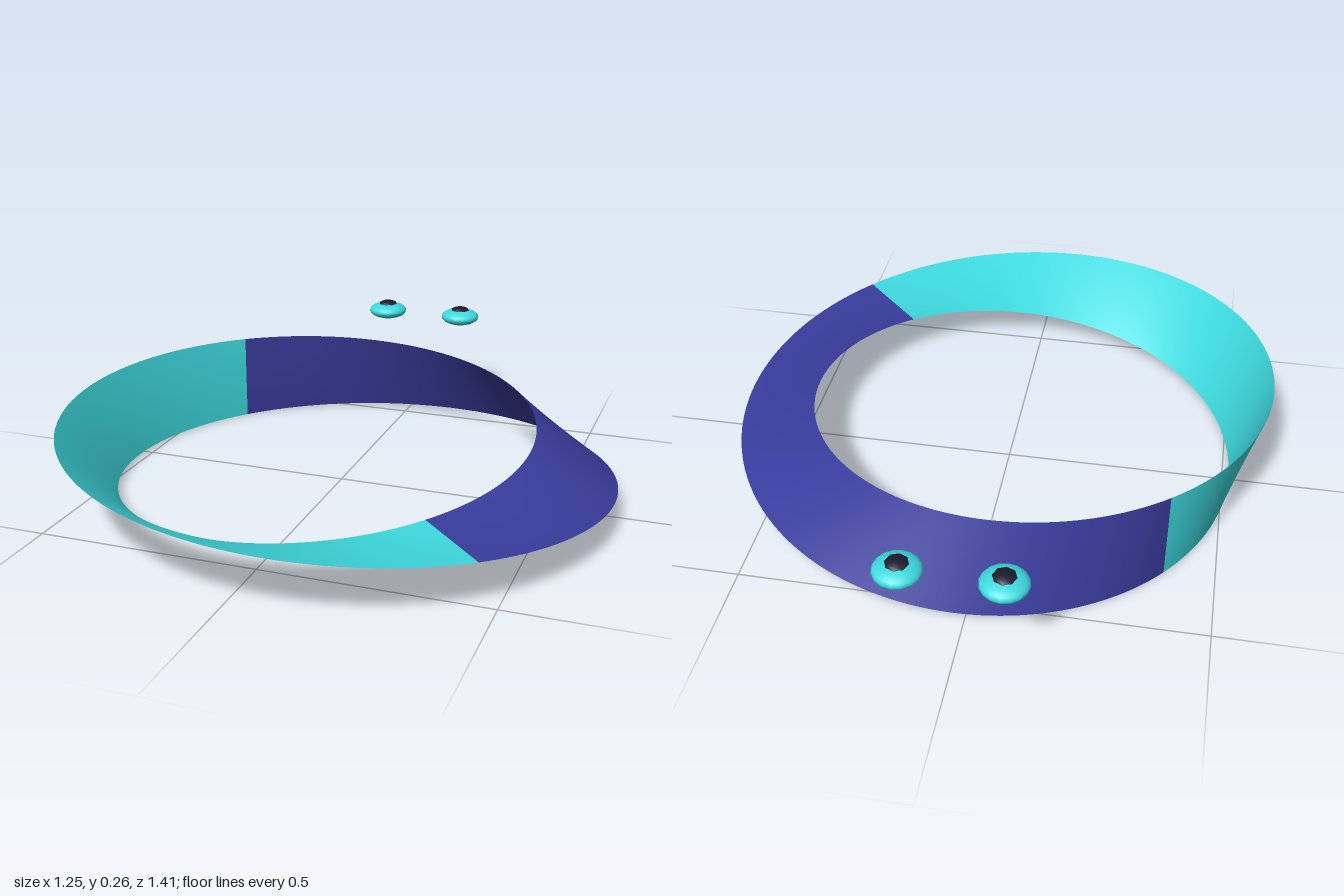
import * as THREE from 'three';
import { ParametricGeometry } from 'three/addons/geometries/ParametricGeometry.js';

const RADIUS = 0.553, HALF_WIDTH = 0.105, CENTRE_Z = 0.0575;

function material(color, side = THREE.FrontSide) {
  return new THREE.MeshStandardMaterial({ color, side });
}

// One half of a band that makes a half twist over the full circle.
function bandHalf(name, start, color) {
  const geometry = new ParametricGeometry((u, v, target) => {
    const turn = start + u * Math.PI;
    const angle = turn + Math.PI / 4;
    const across = (v * 2 - 1) * HALF_WIDTH;
    const r = RADIUS + across * Math.cos(turn / 2);
    target.set(
      r * Math.cos(angle),
      HALF_WIDTH + across * Math.sin(turn / 2),
      CENTRE_Z + r * Math.sin(angle)
    );
  }, 100, 10);
  const mesh = new THREE.Mesh(geometry, material(color, THREE.DoubleSide));
  mesh.name = name;
  return mesh;
}

function ellipsoid(name, radius, height, y, color, segments) {
  const mesh = new THREE.Mesh(new THREE.SphereGeometry(1, segments, segments), material(color));
  mesh.scale.set(radius, height, radius);
  mesh.position.y = y;
  mesh.name = name;
  return mesh;
}

export function createModel() {
  const model = new THREE.Group();
  model.name = 'twistedBand';
  const cyan = 0x3dd9de, blue = 0x393c9c, dark = 0x1a1a2e;

  // Two-coloured twisted ring
  model.add(bandHalf('cyanBand', 0, cyan), bandHalf('blueBand', Math.PI, blue));

  // Pair of flattened eyes floating behind the ring, pupils on top
  for (const side of [1, -1]) {
    const eye = new THREE.Group();
    eye.name = side > 0 ? 'leftEye' : 'rightEye';
    eye.add(
      ellipsoid('eyeball', 0.05, 0.021, 0, cyan, 16),
      ellipsoid('pupil', 0.025, 0.01, 0.017, dark, 8)
    );
    eye.position.set(side * 0.103, 0.233, -0.657);
    model.add(eye);
  }
  return model;
}
